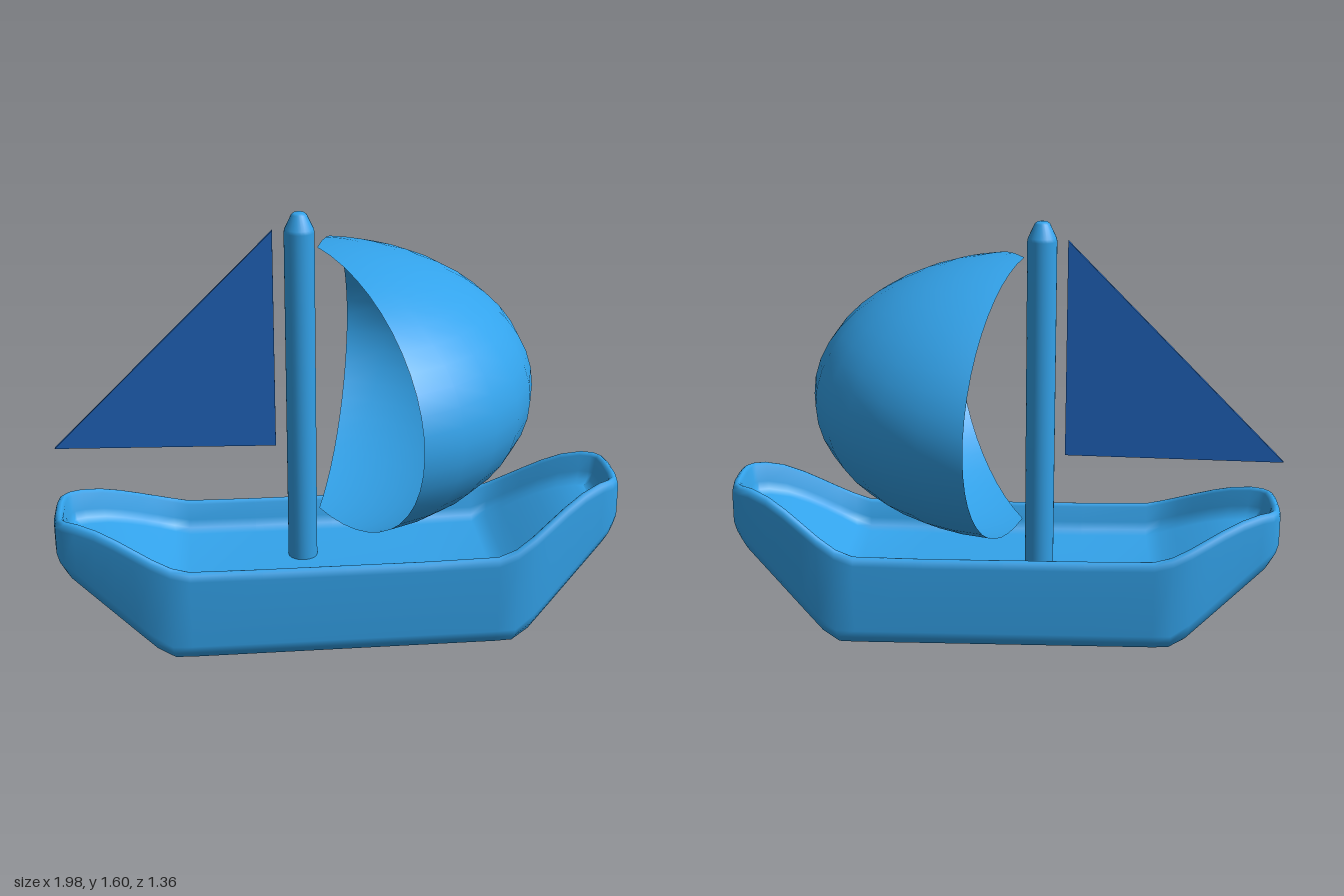
import * as THREE from 'three';

const paint = (color, side = THREE.FrontSide) => new THREE.MeshStandardMaterial({ color, side });
const LIGHT = 0x33a3eb, DARK = 0x2066c0;

function addMesh(parent, name, geometry, material) {
  const mesh = new THREE.Mesh(geometry, material);
  mesh.name = name;
  parent.add(mesh);
  return mesh;
}

// Height of the gunwale along the hull: flat amidships, rising to both ends
function sheer(u) {
  const rise = u < 0 ? 0.14 : 0.215;
  return 0.375 + rise * THREE.MathUtils.smoothstep(Math.abs(u), 0.52, 1.0);
}

// Height of the keel line: flat amidships, raked up to both ends
function keel(u) {
  const rise = u < 0 ? 0.30 : 0.36;
  return rise * Math.max(0, (Math.abs(u) - 0.65) / 0.40);
}

// Hull: plan outline stacked in rings, from the bottom up the outside, over the rim and down to the deck
function hullGeometry() {
  const quarter = [[0.3, 0.323], [0.56, 0.323], [0.63, 0.318], [0.7, 0.295], [0.76, 0.268], [0.83, 0.235],
    [0.9, 0.202], [0.97, 0.169], [1.015, 0.146], [1.042, 0.11], [1.05, 0.05]];
  const side = [...quarter.map(([u, w]) => [-u, w]).reverse(), [0, 0.323], ...quarter];
  const outline = [...side, ...side.map(([u, w]) => [u, -w]).reverse()];
  const n = outline.length;

  const normals = outline.map((_, i) => {
    const a = outline[(i + n - 1) % n], b = outline[(i + 1) % n];
    return new THREE.Vector2(a[1] - b[1], b[0] - a[0]).normalize();
  });

  // [inset, height offset, reference curve]
  const layers = [
    [0.11, 0, keel], [0.07, 0.008, keel], [0.035, 0.025, keel], [0.01, 0.055, keel], [0, 0.085, keel],
    [0, -0.03, sheer], [0.006, -0.008, sheer], [0.016, 0, sheer], [0.026, 0, sheer],
    [0.036, -0.01, sheer], [0.048, -0.07, sheer], [0.058, -0.1, sheer], [0.085, -0.115, sheer],
  ];
  const positions = [], index = [];
  for (const [inset, offset, curve] of layers) {
    outline.forEach(([u, v], i) => {
      const x = u - normals[i].x * inset, z = v - normals[i].y * inset;
      positions.push(x, curve(curve === keel ? x : u) + offset, z);
    });
  }
  const quad = (a, b, c, d) => index.push(a, b, c, a, c, d);
  for (let j = 0; j < layers.length - 1; j++) {
    for (let i = 0; i < n; i++) {
      const k = (i + 1) % n;
      quad(j * n + i, j * n + k, (j + 1) * n + k, (j + 1) * n + i);
    }
  }
  // Bottom and deck close across the boat
  const top = (layers.length - 1) * n;
  for (let i = 0; i < side.length - 1; i++) {
    quad(i, n - 1 - i, n - 2 - i, i + 1);
    quad(top + i, top + i + 1, top + n - 2 - i, top + n - 1 - i);
  }
  const geometry = new THREE.BufferGeometry();
  geometry.setAttribute('position', new THREE.Float32BufferAttribute(positions, 3));
  geometry.setIndex(index);
  geometry.computeVertexNormals();
  return geometry;
}

export function createModel() {
  const boat = new THREE.Group();
  boat.name = 'sailboat';

  const hull = addMesh(boat, 'hull', hullGeometry(), paint(LIGHT));
  hull.position.z = 0.105;
  hull.rotation.y = THREE.MathUtils.degToRad(25);

  // Mast with a tapered, blunt tip
  const mastProfile = [[0, 0.255], [0.055, 0.255], [0.055, 1.525], [0.052, 1.538], [0.028, 1.588], [0.02, 1.595], [0, 1.597]]
    .map(([r, y]) => new THREE.Vector2(r, y));
  const mast = addMesh(boat, 'mast', new THREE.LatheGeometry(mastProfile, 24), paint(LIGHT));
  mast.position.set(-0.135, 0, 0.125);

  // Billowing sail: a wedge of a flattened sphere, open towards the mast
  const rad = THREE.MathUtils.degToRad;
  const sailGeometry = new THREE.SphereGeometry(0.78, 12, 24, rad(136.5), rad(145));
  sailGeometry.scale(1, 0.51 / 0.78, 1);
  const mainSail = addMesh(boat, 'mainSail', sailGeometry, paint(LIGHT, THREE.DoubleSide));
  mainSail.position.set(-0.08, 0.955, 0.09);

  // Flat triangular sail
  const length = Math.hypot(0.76, 0.3);
  const triangle = new THREE.Shape([[0, 0], [length, 0], [length, 0.82]].map(([x, y]) => new THREE.Vector2(x, y)));
  const jibGeometry = new THREE.ExtrudeGeometry(triangle, { depth: 0.018, bevelEnabled: false });
  jibGeometry.translate(0, 0, -0.009);
  const jib = addMesh(boat, 'triangularSail', jibGeometry, paint(DARK));
  jib.position.set(-0.987, 0.71, 0.452);
  jib.rotation.y = Math.atan2(0.3, 0.76);

  return boat;
}
